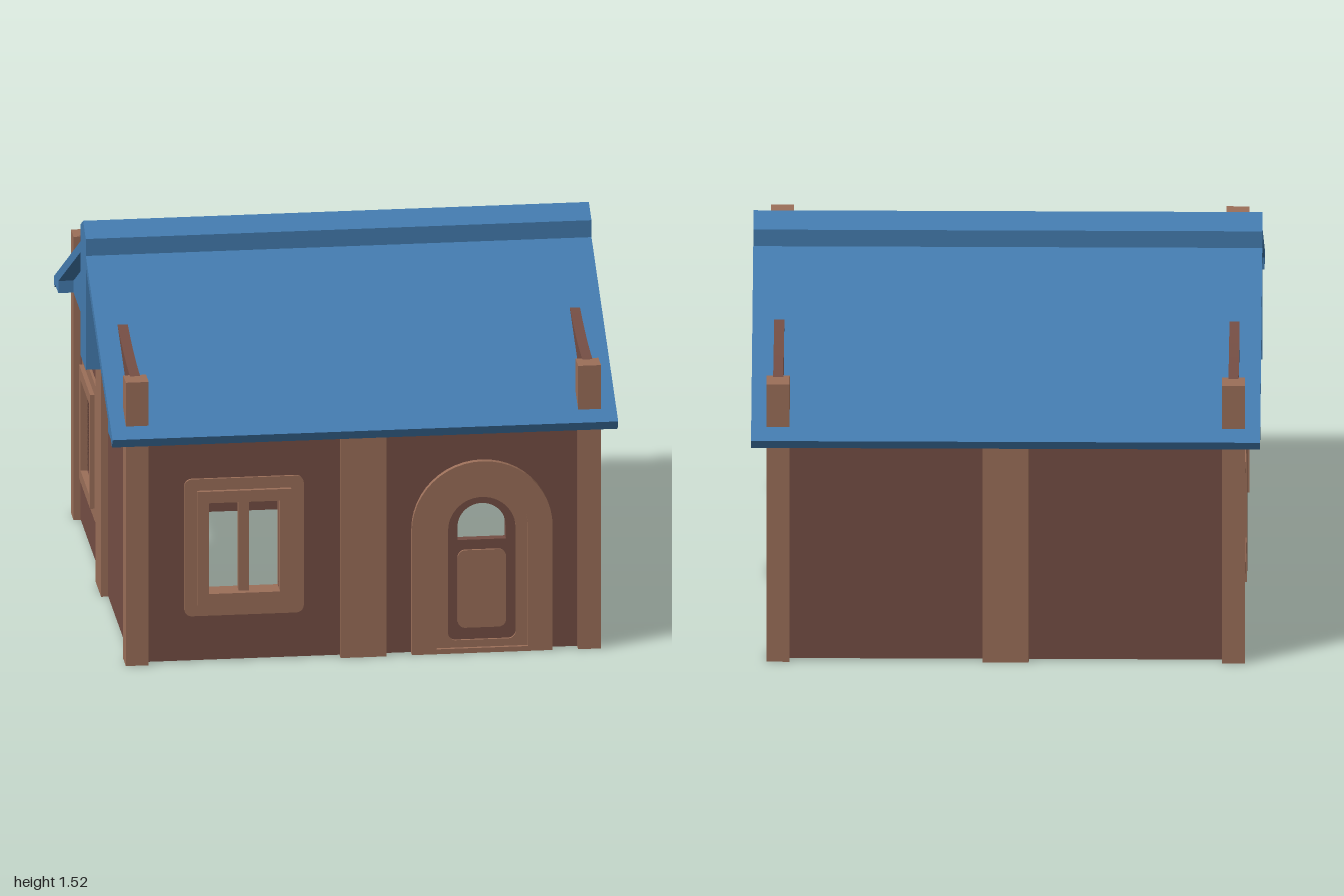
import * as THREE from 'three';

const mat = (name, color, side = THREE.FrontSide) => {
  const m = new THREE.MeshStandardMaterial({ color, side });
  m.name = name;
  return m;
};

// Outlines; every helper adds its points to a Shape or a Path
function poly(points, Type = THREE.Shape) {
  const p = new Type();
  points.forEach(([x, y], i) => (i ? p.lineTo(x, y) : p.moveTo(x, y)));
  p.closePath();
  return p;
}
const rect = (cx, cy, w, h, Type) => poly([
  [cx - w / 2, cy - h / 2], [cx + w / 2, cy - h / 2], [cx + w / 2, cy + h / 2], [cx - w / 2, cy + h / 2]], Type);

function roundRect(cx, cy, w, h, r, Type = THREE.Shape) {
  const p = new Type(), a = w / 2 - r, b = h / 2 - r;
  p.moveTo(cx - a, cy - b - r);
  p.absarc(cx + a, cy - b, r, -Math.PI / 2, 0, false);
  p.absarc(cx + a, cy + b, r, 0, Math.PI / 2, false);
  p.absarc(cx - a, cy + b, r, Math.PI / 2, Math.PI, false);
  p.absarc(cx - a, cy - b, r, Math.PI, Math.PI * 1.5, false);
  p.closePath();
  return p;
}
// Round-topped outline: centre x, bottom, spring height, radius, bottom corner radius
function arch(cx, bottom, spring, r, corner = 0, Type = THREE.Shape) {
  const p = new Type();
  p.moveTo(cx - r + corner, bottom);
  p.lineTo(cx + r - corner, bottom);
  if (corner) p.absarc(cx + r - corner, bottom + corner, corner, -Math.PI / 2, 0, false);
  p.absarc(cx, spring, r, 0, Math.PI, false);
  if (corner) p.absarc(cx - r + corner, bottom + corner, corner, Math.PI, Math.PI * 1.5, false);
  p.closePath();
  return p;
}

function extrude(shape, holes, z0, z1) {
  shape.holes.push(...holes);
  const g = new THREE.ExtrudeGeometry(shape, { depth: z1 - z0, bevelEnabled: false, curveSegments: 12 });
  return g.translate(0, 0, z0);
}

export function createModel() {
  const model = new THREE.Group();
  model.name = 'cottage';
  const wallMat = mat('wall brown', 0x754e44);
  const trimMat = mat('trim tan', 0x9b6f59);
  const roofMat = mat('roof blue', 0x447cb0);

  const add = (parent, name, geometry, material) => {
    const m = new THREE.Mesh(geometry, material);
    m.name = name;
    parent.add(m);
    return m;
  };
  const P = THREE.Path;
  const WX = -0.468, WY = 0.472, DX = 0.468;

  // Four walls, each built facing +z and turned into place
  const sides = [
    { name: 'front', turn: 0, window: true, door: true },
    { name: 'left', turn: Math.PI / 2, window: true },
    { name: 'back', turn: Math.PI },
    { name: 'right', turn: -Math.PI / 2, window: true },
  ];
  for (const s of sides) {
    const side = new THREE.Group();
    side.name = s.name + 'Side';
    side.rotation.y = s.turn;
    model.add(side);

    const openings = [];
    if (s.window) openings.push(rect(WX, WY, 0.28, 0.375, P));
    if (s.door) openings.push(arch(DX, 0.46, 0.515, 0.095, 0, P));
    add(side, 'wall', extrude(rect(0, 0.4725, 1.77, 0.935), openings, 0.87, 0.908), wallMat);
    const post = add(side, 'middlePost', new THREE.BoxGeometry(0.18, 0.94, 0.09), trimMat);
    post.position.set(0, 0.47, 0.89);

    if (s.window) {
      // Rounded surround, raised frame and central bar
      add(side, 'windowSurround', extrude(roundRect(WX, WY, 0.47, 0.565, 0.03),
        [rect(WX, WY, 0.28, 0.375, P)], 0.858, 0.918), trimMat);
      add(side, 'windowFrame', extrude(rect(WX, WY, 0.37, 0.47),
        [rect(WX, WY, 0.28, 0.375, P)], 0.845, 0.935), trimMat);
      const bar = add(side, 'windowBar', new THREE.BoxGeometry(0.04, 0.375, 0.035), trimMat);
      bar.position.set(WX, WY, 0.889);
    }
    if (s.door) {
      // Stepped arches around the recessed door
      add(side, 'doorSurround', extrude(arch(DX, 0, 0.513, 0.277),
        [arch(DX, 0.02, 0.513, 0.18, 0, P)], 0.848, 0.932), trimMat);
      add(side, 'doorFrame', extrude(arch(DX, 0, 0.513, 0.19),
        [arch(DX, 0.05, 0.505, 0.133, 0.03, P)], 0.86, 0.918), trimMat);
      add(side, 'doorPanel', extrude(roundRect(DX, 0.26, 0.19, 0.32, 0.03), [], 0.86, 0.918), trimMat);
    }
  }

  // Corner posts piercing the roof, each with a curved brace
  for (const sx of [-1, 1]) {
    for (const sz of [-1, 1]) {
      const post = add(model, 'cornerPost', new THREE.BoxGeometry(0.09, 1.17, 0.09), trimMat);
      post.position.set(sx * 0.89, 0.585, sz * 0.89);
      const b = new THREE.Shape();
      b.moveTo(0.86, 1.0);
      b.lineTo(0.86, 1.17);
      b.quadraticCurveTo(0.64, 1.18, 0.435, 1.24);
      b.lineTo(0.42, 1.2);
      b.closePath();
      const brace = add(model, 'roofBrace', extrude(b, [], -0.02, 0.02), wallMat);
      brace.rotation.y = -sz * Math.PI / 2;
      brace.position.x = sx * 0.89;
    }
  }

  // Roof: slopes, ridge cap and king posts in one section, gables set back
  const half = [[0.945, 0.94], [0.98, 0.92], [1, 0.957], [0.09, 1.41], [0.09, 1.48]];
  const mirrored = half.map(([z, y]) => [-z, y]).reverse();
  const gable = (d) => [[d * 0.09, 0.94], [d * 0.845, 0.94], [d * 0.845, 0.99], [d * 0.09, 1.365]];
  // The gable recesses reach the underside, so they are cut from the outline
  const notch = (d) => [gable(d)[0], gable(d)[3], gable(d)[2], gable(d)[1]];
  const section = poly([...notch(1), ...half, [0, 1.525], ...mirrored, ...notch(-1).reverse()]);
  add(model, 'roof', extrude(section, [], -0.995, 0.995).rotateY(Math.PI / 2), roofMat);
  for (const d of [-1, 1]) {
    add(model, 'gable', extrude(poly(gable(d)), [], -0.935, 0.935).rotateY(Math.PI / 2), roofMat);
  }
  return model;
}
